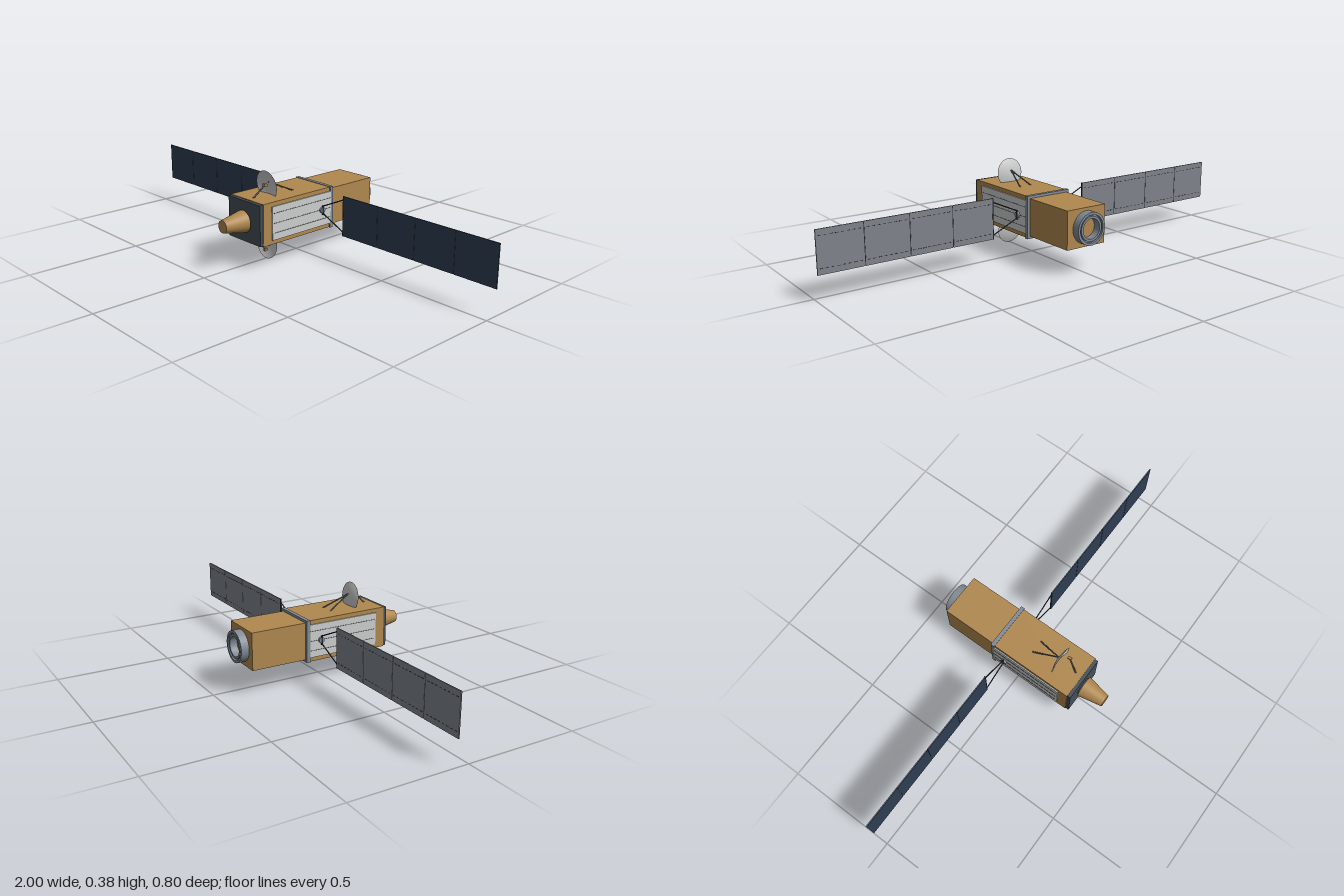
import * as THREE from 'three';

const mat = (name, color, side = THREE.FrontSide) => {
  const m = new THREE.MeshStandardMaterial({ color, side });
  m.name = name;
  return m;
};

export function createModel() {
  const gold = mat('gold foil', 0xb0884f);
  const slate = mat('dark slate', 0x454f57);
  const white = mat('radiator white', 0xcdcfce);
  const steel = mat('blue grey metal', 0x828b96);
  const cell = mat('solar cell blue', 0x2e3d52);
  const backing = mat('panel backing grey', 0x7f848b);
  const dark = mat('dark strut', 0x2c3034);
  const grey = mat('strut grey', 0x5f646a);
  const dishMat = mat('dish light grey', 0xcbcccb, THREE.DoubleSide);

  const model = new THREE.Group();
  model.name = 'satellite';
  const CY = 0.193; // height of the long axis

  const add = (name, geo, material, x = 0, y = CY, z = 0, parent = model) => {
    const m = new THREE.Mesh(geo, material);
    m.name = name;
    m.position.set(x, y, z);
    parent.add(m);
    return m;
  };
  const box = (name, w, h, d, material, x, y, z, parent) =>
    add(name, new THREE.BoxGeometry(w, h, d), material, x, y, z, parent);

  // round bar between two points
  const up = new THREE.Vector3(0, 1, 0);
  const strut = (name, a, b, r, material, parent) => {
    const p = new THREE.Vector3(...a), q = new THREE.Vector3(...b);
    const dir = q.clone().sub(p);
    const m = add(name, new THREE.CylinderGeometry(r, r, dir.length(), 8), material, 0, 0, 0, parent);
    m.position.copy(p.add(q).multiplyScalar(0.5));
    m.quaternion.setFromUnitVectors(up, dir.normalize());
    return m;
  };

  // hull
  box('mainBody', 0.206, 0.18, 0.374, gold, 0, CY, 0.085);
  box('frontPlate', 0.2, 0.175, 0.017, slate, 0, CY, 0.2785);
  box('collar', 0.216, 0.184, 0.017, steel, 0, CY, -0.109);
  box('rearBody', 0.192, 0.162, 0.25, gold, 0, CY, -0.24);

  // front horn
  const neck = add('hornNeck', new THREE.CylinderGeometry(0.04, 0.04, 0.008, 32), slate, 0, CY, 0.29);
  neck.rotation.x = Math.PI / 2;
  const horn = add('frontHorn', new THREE.CylinderGeometry(0.027, 0.048, 0.107, 32), gold, 0, CY, 0.3465);
  horn.rotation.x = Math.PI / 2;

  // rear docking ring, hollow with a stepped face; each band is its own lathe for sharp edges
  const ring = new THREE.Group();
  ring.name = 'rearRing';
  ring.position.set(0, CY, -0.365);
  ring.rotation.x = -Math.PI / 2;
  model.add(ring);
  const profile = [[0.0685, 0], [0.0685, 0.035], [0.058, 0.035], [0.058, 0.024],
    [0.052, 0.024], [0.052, 0.033], [0.042, 0.033], [0.042, 0]];
  for (let i = 0; i < profile.length - 1; i++) {
    const pts = [profile[i], profile[i + 1]].map(p => new THREE.Vector2(...p));
    add('ringBand', new THREE.LatheGeometry(pts, 40), steel, 0, 0, 0, ring);
  }

  // one side: radiator, hub, yoke and solar wing
  for (const s of [1, -1]) {
    const side = s > 0 ? 'left' : 'right';
    box(side + 'Radiator', 0.005, 0.144, 0.332, white, s * 0.1055, CY, 0.0615);
    for (const y of [0.151, 0.193, 0.236])
      box(side + 'RadiatorSeam', 0.002, 0.0025, 0.322, grey, s * 0.108, y, 0.058);

    const hub = add(side + 'Hub', new THREE.CylinderGeometry(0.013, 0.013, 0.014, 20), steel, s * 0.11, CY, -0.05);
    hub.rotation.z = Math.PI / 2;
    box(side + 'HubBar', 0.005, 0.04, 0.007, dark, s * 0.115, CY, -0.05);

    const wing = new THREE.Group();
    wing.name = side + 'SolarWing';
    wing.position.set(0, CY + 0.002, -0.0505);
    model.add(wing);
    for (const v of [1, -1])
      strut('yokeArm', [s * 0.115, v * 0.016, 0], [s * 0.238, v * 0.072, 0], 0.0025, dark, wing);
    box('rootBar', 0.004, 0.175, 0.006, dark, s * 0.236, 0, 0, wing);

    for (let i = 0; i < 4; i++) {
      const x = s * (0.332 + i * 0.1913);
      box('panelBacking', 0.188, 0.174, 0.003, backing, x, 0, -0.001, wing);
      box('panelCells', 0.188, 0.174, 0.002, cell, x, 0, 0.0015, wing);
      if (i < 3) box('panelHinge', 0.0035, 0.17, 0.003, dark, x + s * 0.0957, 0, 0, wing);
      // dashed stitching on the back
      for (const v of [1, -1])
        for (let k = 0; k < 8; k++)
          box('backDash', 0.012, 0.0022, 0.001, dark, x + (k - 3.5) * 0.0225, v * 0.063, -0.0027, wing);
    }
  }

  // dish antennas above and below
  for (const s of [1, -1]) {
    const dish = new THREE.Group();
    dish.name = s > 0 ? 'topAntenna' : 'bottomAntenna';
    dish.position.set(0, CY, 0);
    model.add(dish);

    const pts = [];
    for (let i = 0; i <= 8; i++) {
      const r = 0.0635 * i / 8;
      pts.push(new THREE.Vector2(r, 0.013 * (i / 8) ** 2));
    }
    const bowl = add('dishBowl', new THREE.LatheGeometry(pts, 40), dishMat, 0, s * 0.13, 0.152, dish);
    bowl.rotation.x = Math.PI / 2 + s * 0.1;

    for (const x of [0.03, -0.03])
      strut('dishLeg', [0, s * 0.141, 0.154], [x, s * 0.087, 0.04], 0.003, grey, dish);

    // offset feed on its arm
    strut('feedArm', [0.003, s * 0.087, 0.242], [0.023, s * 0.139, 0.195], 0.0035, grey, dish);
    const feed = box('feedBox', 0.011, 0.01, 0.017, gold, 0.024, s * 0.141, 0.194, dish);
    feed.rotation.x = -s * 0.2;
  }

  return model;
}
